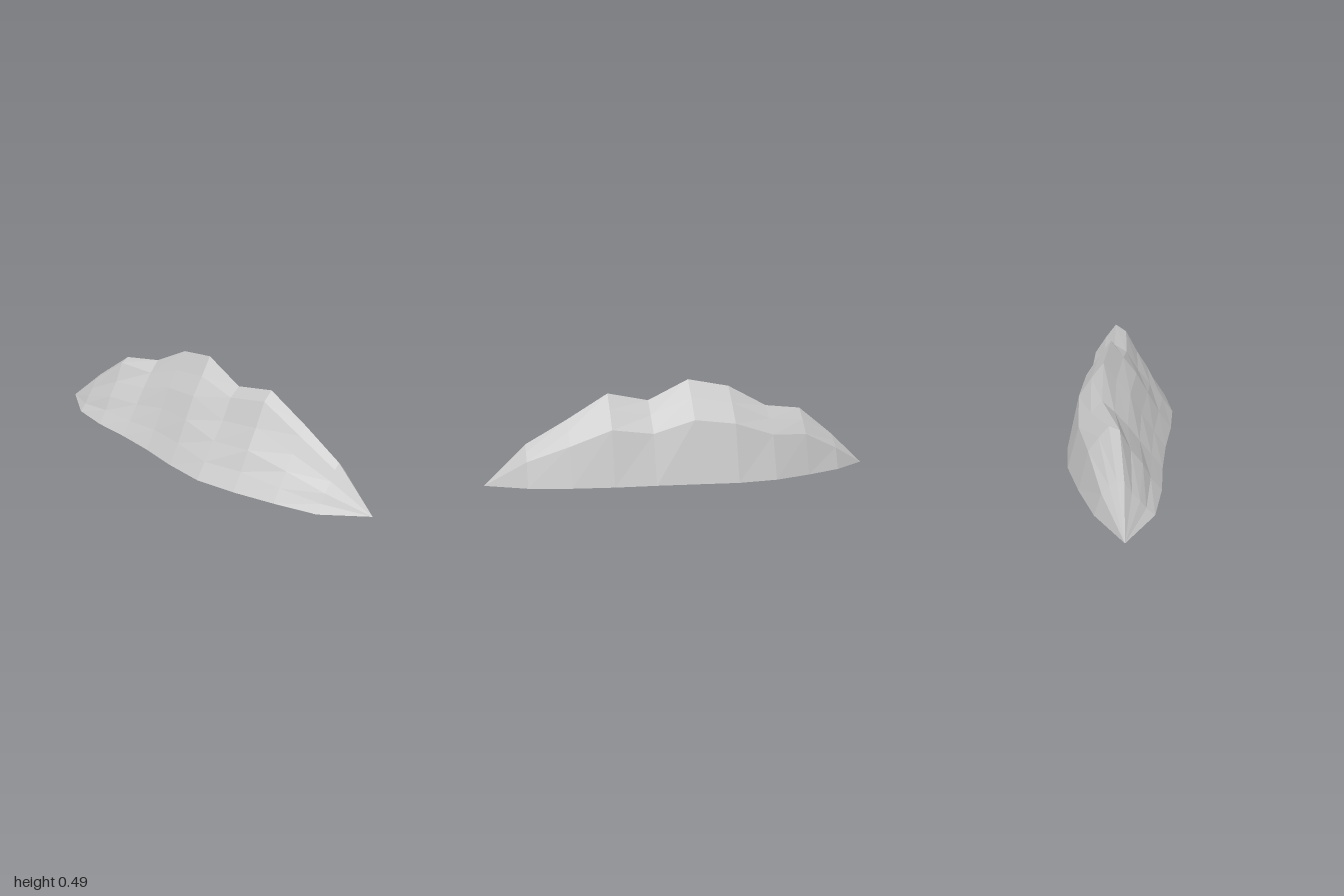
import * as THREE from 'three';

// Stations along x: crest height, crest z, front foot z, back foot z, front shoulder height share
const stations = [
  [0, 0, 0, 0, 0],
  [0.175, -0.033, 0.132, -0.13, 0.92],
  [0.325, -0.065, 0.172, -0.205, 0.94],
  [0.35, -0.096, 0.187, -0.264, 0.84],
  [0.455, -0.092, 0.213, -0.275, 0.81],
  [0.49, -0.057, 0.252, -0.248, 0.82],
  [0.39, -0.039, 0.274, -0.222, 0.9],
  [0.43, -0.032, 0.247, -0.202, 0.91],
  [0.31, -0.031, 0.203, -0.168, 0.89],
  [0.195, -0.013, 0.15, -0.112, 0.88],
  [0, 0.003, 0.003, 0.003, 0],
];

// Slope profile from front foot over the crest to back foot:
// height share, share of the way from crest to foot (front positive)
const SHOULDER = 4;
const profile = [
  [0, 1], [0.2, 0.81], [0.42, 0.61], [0.64, 0.41], [0.9, 0.2],
  [1, 0], [0.83, -0.32], [0.62, -0.66], [0, -1],
];

// Small seeded roughness for the middle rows
let seed = 11;
function rough(amount) {
  seed = (seed * 16807) % 2147483647;
  return (seed / 2147483647 - 0.5) * 2 * amount;
}

function sectionPoints([height, crest, front, back, shoulder], i) {
  const x = -1 + i * 0.2;
  return profile.map(([share, f], row) => {
    const h = row === SHOULDER ? shoulder : share;
    const foot = f >= 0 ? front : back;
    const bump = height > 0 && row > 0 && row < SHOULDER ? rough(0.007) : 0;
    return new THREE.Vector3(x, h * height, crest + (foot - crest) * Math.abs(f) + bump);
  });
}

// Joins neighbouring sections; the closing row makes the flat underside
function ridgeGeometry() {
  const rings = stations.map(sectionPoints);
  const positions = [];
  const face = (a, b, c) => {
    const area = b.clone().sub(a).cross(c.clone().sub(a)).length();
    if (area > 1e-7) for (const p of [a, b, c]) positions.push(p.x, p.y, p.z);
  };
  for (let i = 0; i < rings.length - 1; i++) {
    for (let j = 0; j < profile.length; j++) {
      const k = (j + 1) % profile.length;
      const a = rings[i][j], b = rings[i + 1][j], c = rings[i + 1][k], d = rings[i][k];
      face(a, b, c);
      face(a, c, d);
    }
  }
  const geometry = new THREE.BufferGeometry();
  geometry.setAttribute('position', new THREE.Float32BufferAttribute(positions, 3));
  geometry.computeVertexNormals();
  return geometry;
}

export function createModel() {
  const group = new THREE.Group();
  group.name = 'rockRidge';
  const stone = new THREE.MeshStandardMaterial({ color: 0xc7c7c7 });
  stone.name = 'pale grey stone';
  const rock = new THREE.Mesh(ridgeGeometry(), stone);
  rock.name = 'rock';
  group.add(rock);
  return group;
}
